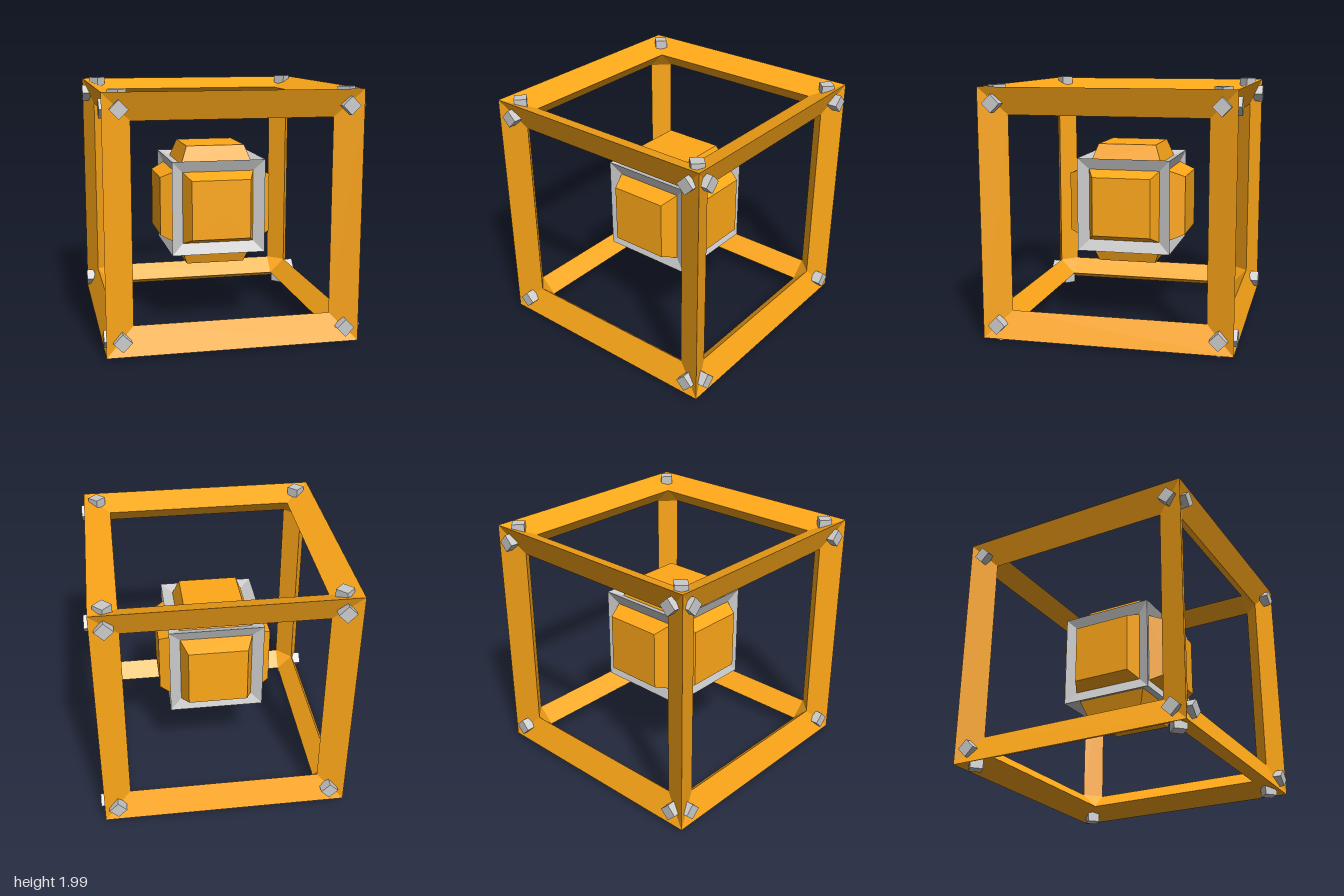
import * as THREE from 'three';

const orange = new THREE.MeshStandardMaterial({ color: 0xffa818, flatShading: true });
const grey = new THREE.MeshStandardMaterial({ color: 0xcccccc, flatShading: true });

const X = new THREE.Vector3(1, 0, 0);
const Y = new THREE.Vector3(0, 1, 0);
const Z = new THREE.Vector3(0, 0, 1);
const turn = (axis, quarters) => new THREE.Quaternion().setFromAxisAngle(axis, quarters * Math.PI / 2);

// Rotations that carry +z onto each of the six cube faces
const faceTurns = [0, 1, 2, 3].map(k => turn(Y, k)).concat([turn(X, 1), turn(X, -1)]);

function polygons(points, index) {
  const g = new THREE.BufferGeometry().setFromPoints(points.map(p => new THREE.Vector3(...p)));
  g.setIndex(index);
  const flat = g.toNonIndexed();
  flat.computeVertexNormals();
  return flat;
}

// Cube frame of mitred triangular bars whose faces slope in from the outer edges:
// a = outer half size, b = half opening, c = height of the opening's rim
function edgeFrame(name, a, b, c, material) {
  const frame = new THREE.Group();
  frame.name = name;

  const section = s => [[s * a, a, a], [s * b, b, c], [s * b, c, b]];
  const index = [];
  for (let i = 0; i < 3; i++) {
    const j = (i + 1) % 3;
    index.push(i, j, j + 3, i, j + 3, i + 3);
  }
  const barGeometry = polygons([...section(-1), ...section(1)], index);
  const directions = [[X, new THREE.Quaternion()], [Y, turn(Z, 1)], [Z, turn(Y, 1)]];
  for (const [axis, base] of directions) {
    for (let k = 0; k < 4; k++) {
      const bar = new THREE.Mesh(barGeometry, material);
      bar.name = name + 'Bar';
      bar.quaternion.copy(turn(axis, k)).multiply(base);
      frame.add(bar);
    }
  }

  // Small facets closing the inside of each corner
  const cornerGeometry = polygons([[b, b, c], [b, c, b], [c, b, b]], [0, 1, 2]);
  for (let k = 0; k < 8; k++) {
    const corner = new THREE.Mesh(cornerGeometry, material);
    corner.name = name + 'InnerCorner';
    corner.quaternion.copy(turn(Y, k % 4)).multiply(turn(X, k < 4 ? 0 : 2));
    frame.add(corner);
  }
  return frame;
}

// Bevelled square pad rising along +z
function padGeometry(baseHalf, topHalf, from, to) {
  const g = new THREE.CylinderGeometry(topHalf * Math.SQRT2, baseHalf * Math.SQRT2, to - from, 4);
  g.rotateY(Math.PI / 4);
  g.rotateX(Math.PI / 2);
  g.translate(0, 0, (from + to) / 2);
  return g;
}

export function createModel() {
  const model = new THREE.Group();
  model.name = 'framedCube';

  // Open outer cage
  const cage = edgeFrame('outerFrame', 0.976, 0.763, 0.89, orange);
  cage.position.set(-0.013, 1.007, 0);
  model.add(cage);

  // Diamond-set square bolts, four on each side of the cage
  const bolts = new THREE.Group();
  bolts.name = 'bolts';
  bolts.position.set(-0.005, 1.002, 0);
  const boltGeometry = new THREE.BoxGeometry(0.099, 0.099, 0.125);
  for (const q of faceTurns) {
    const side = new THREE.Group();
    side.name = 'sideBolts';
    side.quaternion.copy(q);
    for (const x of [-0.862, 0.862]) {
      for (const y of [-0.858, 0.858]) {
        const bolt = new THREE.Mesh(boltGeometry, grey);
        bolt.name = 'bolt';
        bolt.position.set(x, y, 0.9335);
        bolt.rotation.z = Math.PI / 4;
        side.add(bolt);
      }
    }
    bolts.add(side);
  }
  model.add(bolts);

  // Floating core: grey rim frame with a raised pad in every opening
  const core = new THREE.Group();
  core.name = 'core';
  core.position.set(-0.013, 1.009, 0);
  core.add(edgeFrame('coreFrame', 0.381, 0.29, 0.345, grey));
  faceTurns.forEach((q, i) => {
    const height = i > 3 ? 0.487 : i % 2 ? 0.455 : 0.481;
    const pad = new THREE.Mesh(padGeometry(0.29, 0.238, 0.345, height), orange);
    pad.name = 'corePad';
    pad.quaternion.copy(q);
    core.add(pad);
  });
  model.add(core);

  return model;
}
